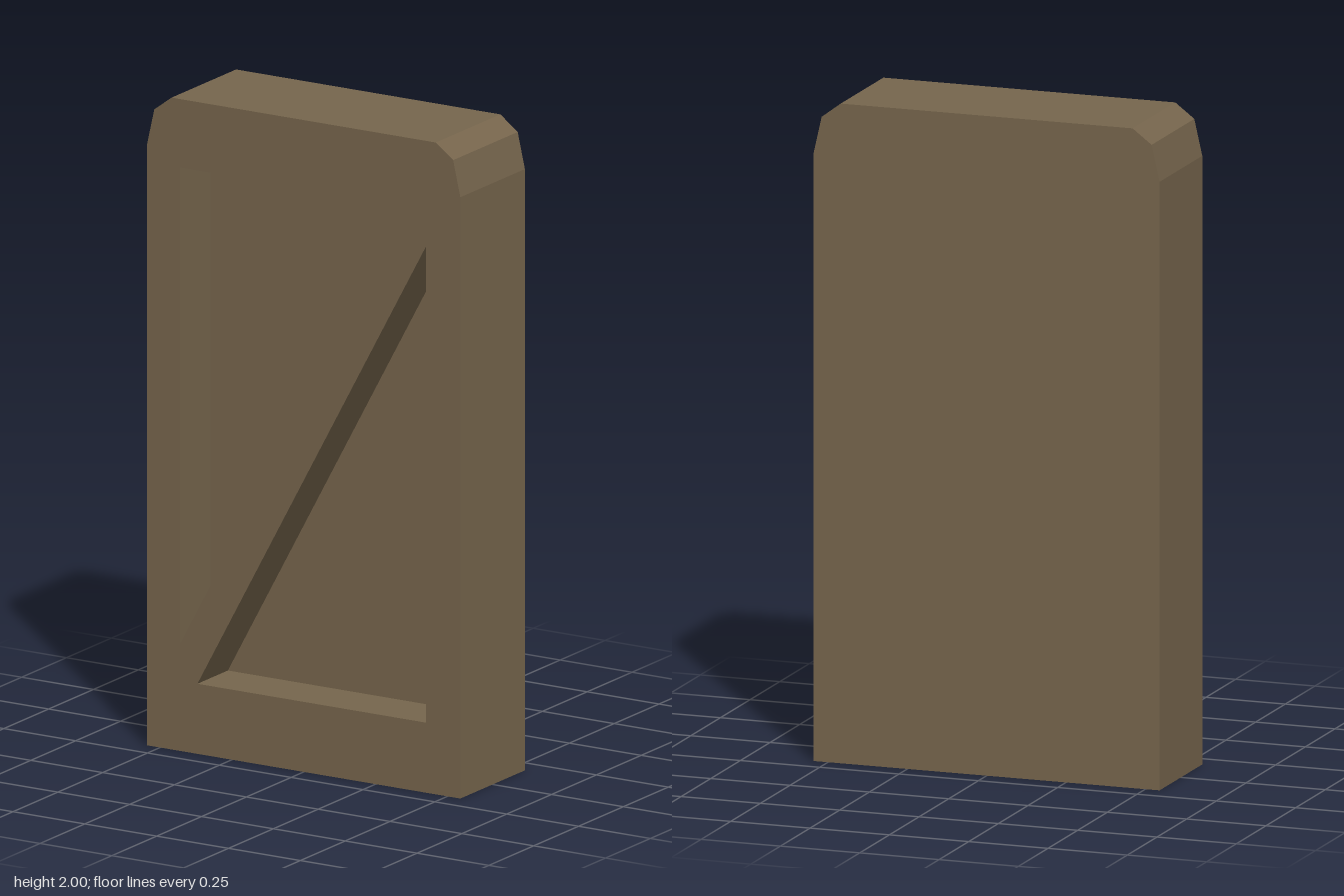
import * as THREE from 'three';

const toPoints = (pairs) => pairs.map(([x, y]) => new THREE.Vector2(x, y));

export function createModel() {
  const group = new THREE.Group();
  group.name = 'door';
  const wood = new THREE.MeshStandardMaterial({ color: 0x77664d });
  wood.name = 'brown wood';

  const back = -0.18, recessFloor = 0.01, front = 0.18;

  // Upright slab outline with chamfered top corners, mirrored left to right
  const half = [[0.545, 0], [0.545, 1.845], [0.52, 1.955], [0.46, 2]];
  const outline = toPoints([...half, ...half.map(([x, y]) => [-x, y]).reverse()]);

  // Two triangular recesses either side of the diagonal brace
  const recesses = [
    [[-0.43, 1.79], [0.365, 1.79], [-0.43, 0.33]],
    [[0.425, 0.215], [-0.37, 0.215], [0.425, 1.675]],
  ];

  const addLayer = (name, z0, z1, holes) => {
    const shape = new THREE.Shape(outline);
    shape.holes = holes.map((h) => new THREE.Path(toPoints(h)));
    const geometry = new THREE.ExtrudeGeometry(shape, { depth: z1 - z0, bevelEnabled: false });
    geometry.translate(0, 0, z0);
    const mesh = new THREE.Mesh(geometry, wood);
    mesh.name = name;
    group.add(mesh);
  };

  // Solid rear panel forms the recess floors; the braced frame sits in front
  addLayer('backPanel', back, recessFloor, []);
  addLayer('bracedFrame', recessFloor, front, recesses);

  return group;
}
